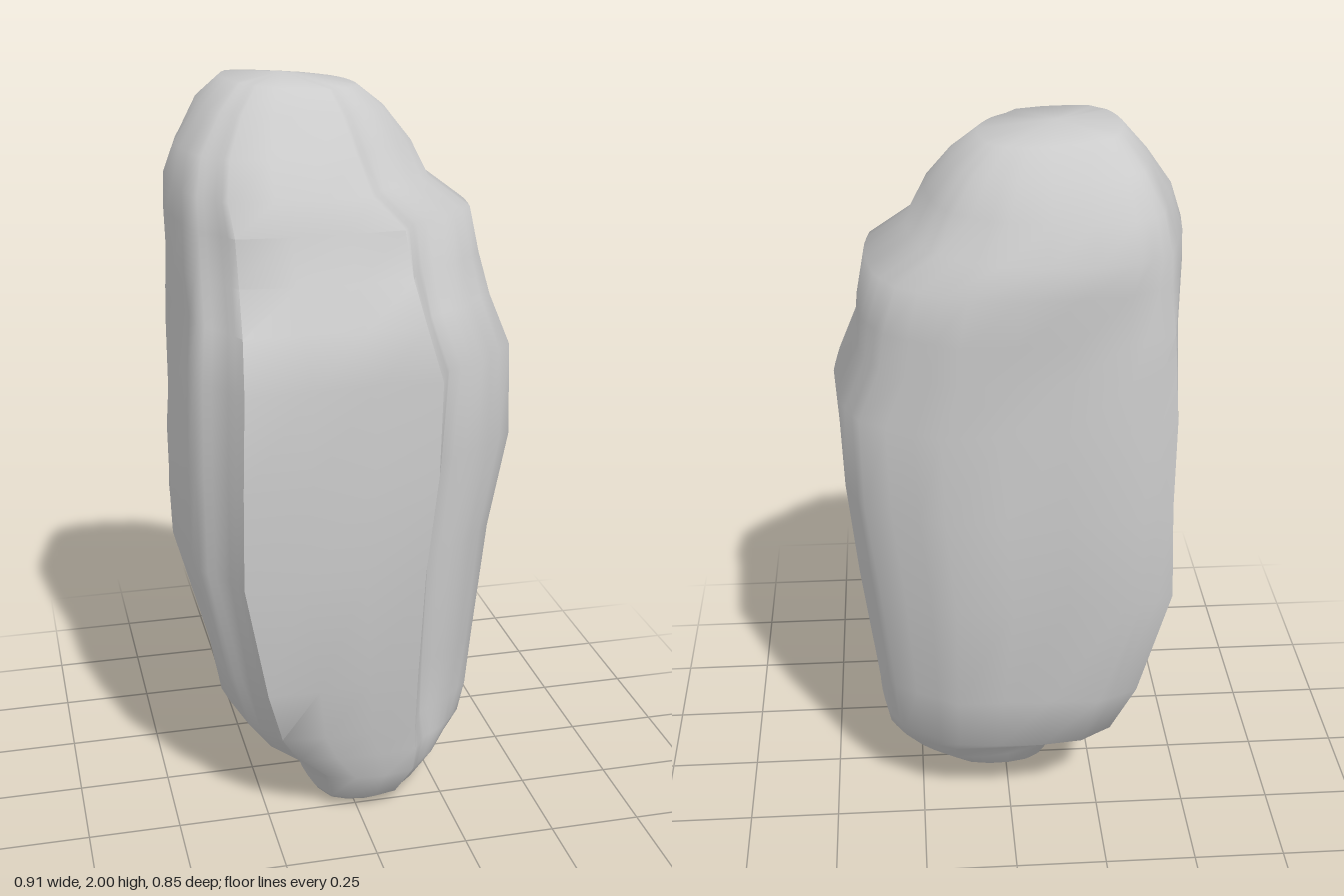
import * as THREE from 'three';
import { toCreasedNormals } from 'three/addons/utils/BufferGeometryUtils.js';

const { lerp, smoothstep } = THREE.MathUtils;

// Blocky outline of the boulder in plan, x and z in -1..1, with a notched front corner
const block = [
  [-0.72, 1], [0.39, 1], [0.48, 0.75], [0.72, 0.64], [0.98, 0.36], [1, 0],
  [0.97, -0.45], [0.84, -0.72], [0.4, -1], [-0.62, -1], [-0.91, -0.87],
  [-1, 0], [-0.95, 0.66], [-0.82, 0.8],
];

// Extents upwards: y, xMin, xMax, zMin, zMax
const sections = [
  [0.025, -0.11, 0.16, -0.09, 0.24],
  [0.055, -0.13, 0.22, -0.15, 0.28],
  [0.13, -0.16, 0.29, -0.20, 0.315],
  [0.20, -0.27, 0.345, -0.23, 0.33],
  [0.28, -0.33, 0.36, -0.32, 0.345],
  [0.45, -0.37, 0.375, -0.355, 0.38],
  [0.78, -0.455, 0.41, -0.40, 0.415],
  [1.05, -0.455, 0.45, -0.41, 0.425],
  [1.30, -0.445, 0.455, -0.415, 0.42],
  [1.44, -0.445, 0.395, -0.415, 0.405],
  [1.54, -0.44, 0.385, -0.42, 0.325],
  [1.66, -0.44, 0.36, -0.42, 0.305],
  [1.74, -0.435, 0.25, -0.415, 0.265],
  [1.83, -0.41, 0.205, -0.375, 0.205],
  [1.92, -0.35, 0.145, -0.335, 0.125],
  [1.98, -0.28, 0.075, -0.26, 0.07],
];

// The middle is blocky, both ends grow rounder
const blockiness = (y) => Math.min(1, 0.2 + 2 * y, 0.4 + 0.85 * (1.98 - y));

// Shallow dents and swells in the rock face
function weathering(x, y, z) {
  return 0.008 * Math.sin(9 * x + 5.3 * y + 1) * Math.sin(8 * z - 4 * y)
    + 0.004 * Math.sin(17 * y + 11 * x - 13 * z);
}

function boulderGeometry() {
  // Split each edge of the outline into shorter pieces
  const outline = block.flatMap((p, i) => {
    const q = block[(i + 1) % block.length];
    return [0, 1 / 3, 2 / 3].map((t) => [lerp(p[0], q[0], t), lerp(p[1], q[1], t)]);
  });
  const n = outline.length;
  const positions = [], index = [];

  for (const [y, x0, x1, z0, z1] of sections) {
    const k = blockiness(y);
    // The foot tips to the front and the crown to the left
    const tiltZ = -0.12 * Math.max(0, 1 - y / 0.2);
    const tiltX = -0.07 * smoothstep(y, 1.88, 1.98);
    for (const [u, v] of outline) {
      const r = Math.hypot(u, v);
      const dx = lerp(u / r, u, k) * (x1 - x0) / 2;
      const dz = lerp(v / r, v, k) * (z1 - z0) / 2;
      const x = (x0 + x1) / 2 + dx, z = (z0 + z1) / 2 + dz;
      const w = weathering(x, y, z);
      positions.push(x + w * u, y + tiltX * dx + tiltZ * dz, z + w * v);
    }
  }
  for (let j = 0; j < sections.length - 1; j++) {
    for (let i = 0; i < n; i++) {
      const a = j * n + i, b = j * n + (i + 1) % n;
      index.push(a, b, b + n, a, b + n, a + n);
    }
  }
  // Underside and crown
  const bottom = positions.length / 3, last = (sections.length - 1) * n;
  positions.push(0.01, 0, 0.16, -0.12, 2, -0.1);
  for (let i = 0; i < n; i++) {
    const next = (i + 1) % n;
    index.push(bottom, next, i, bottom + 1, last + i, last + next);
  }
  const geometry = new THREE.BufferGeometry();
  geometry.setAttribute('position', new THREE.Float32BufferAttribute(positions, 3));
  geometry.setIndex(index);
  return toCreasedNormals(geometry, 0.9);
}

export function createModel() {
  const group = new THREE.Group();
  group.name = 'standingBoulder';
  const rock = new THREE.Mesh(boulderGeometry(), new THREE.MeshStandardMaterial({ color: 0xcccccc }));
  rock.name = 'boulder';
  group.add(rock);
  return group;
}
